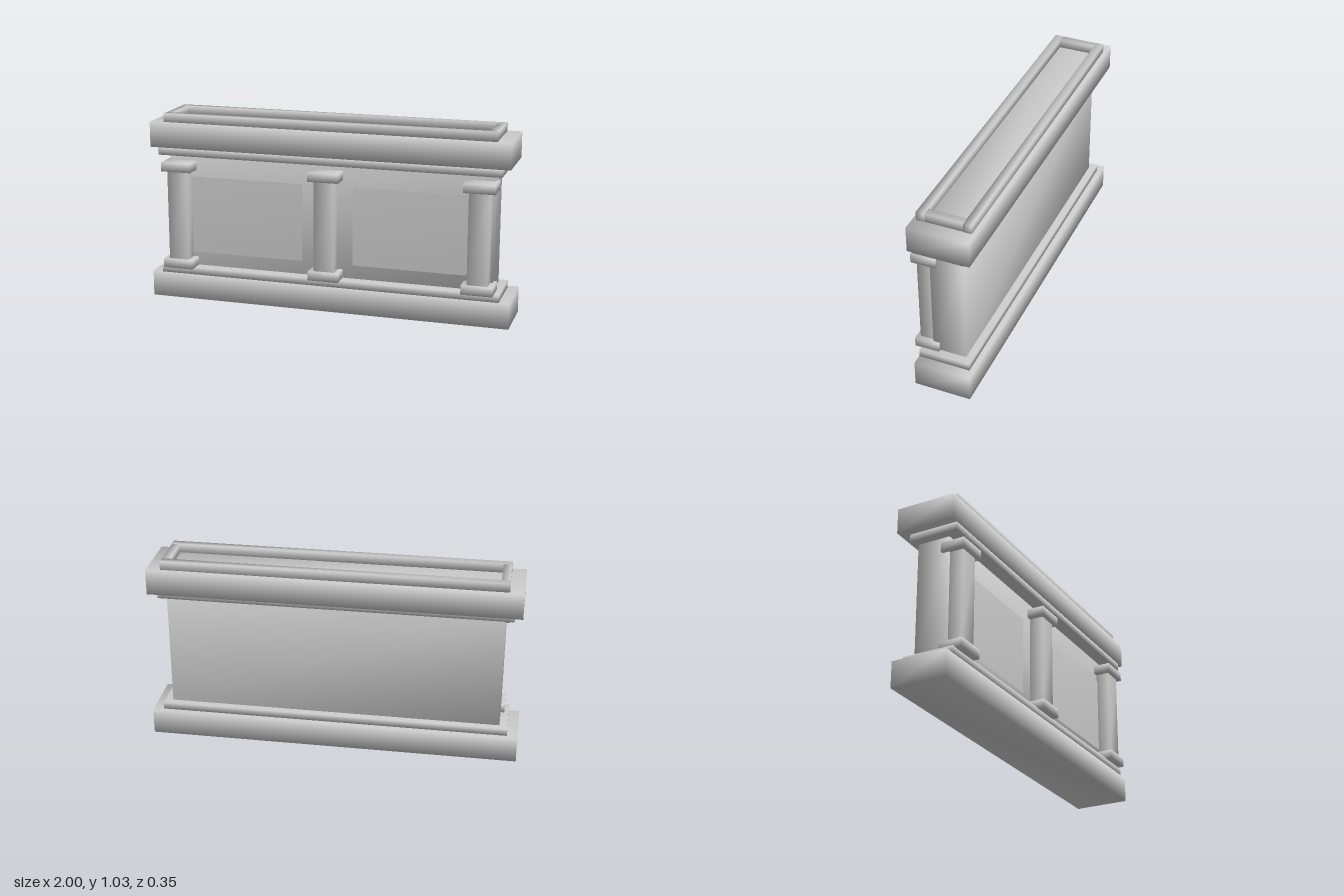
import * as THREE from 'three';
import { mergeVertices } from 'three/addons/utils/BufferGeometryUtils.js';

const material = new THREE.MeshStandardMaterial({ color: 0xcccccc });

// Box given by its extents, with corner normals shared for soft shading
function block(name, [x0, x1], [y0, y1], [z0, z1]) {
  let geometry = new THREE.BoxGeometry(x1 - x0, y1 - y0, z1 - z0);
  geometry.deleteAttribute('normal');
  geometry.deleteAttribute('uv');
  geometry = mergeVertices(geometry);
  geometry.computeVertexNormals();
  const mesh = new THREE.Mesh(geometry, material);
  mesh.position.set((x0 + x1) / 2, (y0 + y1) / 2, (z0 + z1) / 2);
  mesh.name = name;
  return mesh;
}

const around = (centre, half) => [centre - half, centre + half];

// Square column with a wider foot and capital
function column(x) {
  const group = new THREE.Group();
  group.name = 'column';
  group.add(
    block('columnFoot', around(x, 0.084), [0.178, 0.227], [0.043, 0.175]),
    block('columnShaft', around(x, 0.056), [0.225, 0.724], [0.06, 0.156]),
    block('columnCapital', around(x, 0.084), [0.722, 0.771], [0.043, 0.175])
  );
  return group;
}

export function createModel() {
  const model = new THREE.Group();
  model.name = 'pedestalWall';

  // Stacked body from plinth to cornice
  model.add(
    block('plinth', around(0, 1), [0, 0.14], [-0.162, 0.142]),
    block('plinthStep', around(0, 0.944), [0.14, 0.18], [-0.137, 0.14]),
    block('wall', around(0, 0.9), [0.18, 0.808], [-0.1, 0.08]),
    block('corniceStep', around(0, 0.944), [0.808, 0.85], [-0.123, 0.148]),
    block('cornice', around(0, 0.987), [0.85, 0.988], [-0.173, 0.153])
  );

  // Front columns
  for (const x of [-0.835, 0, 0.832]) model.add(column(x));

  // Thin panels between the columns
  model.add(
    block('leftPanel', [0.14, 0.84], [0.255, 0.682], [0.07, 0.085]),
    block('rightPanel', [-0.84, -0.145], [0.255, 0.682], [0.07, 0.085])
  );

  // Raised rim on top
  const rimY = [0.988, 1.035];
  model.add(
    block('frontRail', around(0, 0.912), rimY, [0.09, 0.134]),
    block('backRail', around(0, 0.912), rimY, [-0.154, -0.11])
  );
  for (const side of [-1, 1]) {
    model.add(block('endRail', around(side * 0.888, 0.022), rimY, [-0.112, 0.092]));
  }
  return model;
}
